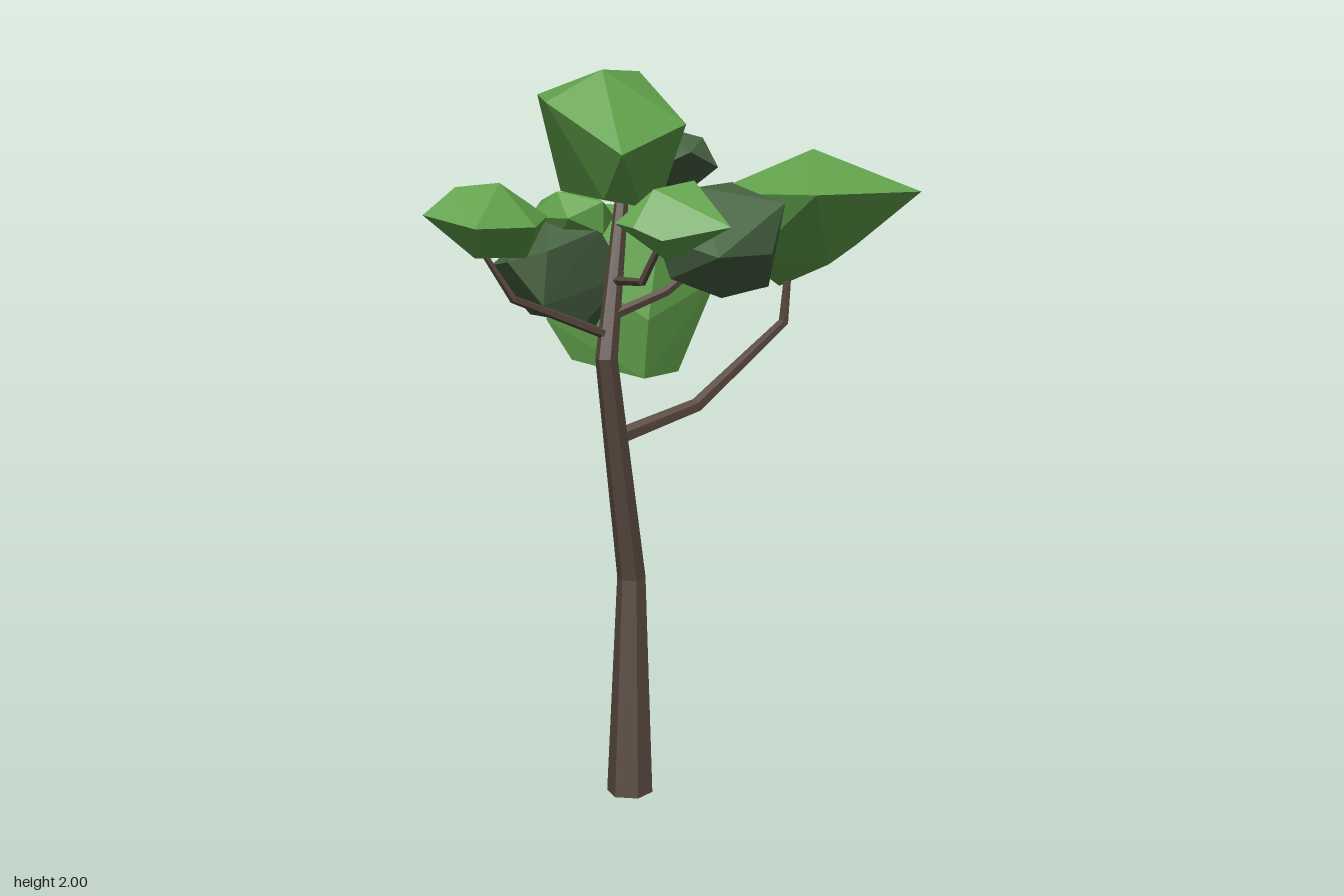
import * as THREE from 'three';
import { ConvexGeometry } from 'three/addons/geometries/ConvexGeometry.js';

const leaf = new THREE.MeshStandardMaterial({ color: 0x60a04a });
leaf.name = 'leafGreen';
const shade = new THREE.MeshStandardMaterial({ color: 0x466241 });
shade.name = 'deepGreen';
const bark = new THREE.MeshStandardMaterial({ color: 0x57483e });
bark.name = 'barkBrown';

const UP = new THREE.Vector3(0, 1, 0);

function part(name, geometry, material) {
  const flat = geometry.index ? geometry.toNonIndexed() : geometry;
  flat.computeVertexNormals();
  const mesh = new THREE.Mesh(flat, material);
  mesh.name = name;
  return mesh;
}

// Bent, tapering limb: each ring of a cylinder moves to one path point [x, y, z, radius]
function limb(name, path, sides) {
  const last = path.length - 1;
  const geometry = new THREE.CylinderGeometry(1, 1, 1, sides, last, false, Math.PI / 2);
  const points = path.map((p) => new THREE.Vector3(p[0], p[1], p[2]));
  const turns = points.map((p, i) => {
    const along = new THREE.Vector3();
    if (i > 0) along.add(p.clone().sub(points[i - 1]).normalize());
    if (i < last) along.add(points[i + 1].clone().sub(p).normalize());
    return new THREE.Quaternion().setFromUnitVectors(UP, along.normalize());
  });
  const pos = geometry.attributes.position;
  const v = new THREE.Vector3();
  for (let i = 0; i < pos.count; i++) {
    const row = Math.round((pos.getY(i) + 0.5) * last);
    v.set(pos.getX(i), 0, pos.getZ(i)).multiplyScalar(path[row][3]);
    v.applyQuaternion(turns[row]).add(points[row]);
    pos.setXYZ(i, v.x, Math.max(0, v.y), v.z);
  }
  return part(name, geometry, bark);
}

// Irregular leaf clump: the hull around a few corners
function clump(name, material, corners) {
  return part(name, new ConvexGeometry(corners.map((c) => new THREE.Vector3(...c))), material);
}

export function createModel() {
  const tree = new THREE.Group();
  tree.name = 'tree';

  // Trunk and branches
  tree.add(
    limb('trunk', [[-0.118, 0, -0.098, 0.065], [-0.077, 0.62, -0.12, 0.04],
      [-0.21, 1.25, -0.09, 0.03], [-0.13, 1.66, -0.1, 0.018]], 6),
    limb('leftBranch', [[-0.16, 1.03, -0.1, 0.023], [0.05, 1.1, 0.01, 0.02],
      [0.335, 1.31, 0.105, 0.015], [0.35, 1.47, 0.11, 0.01]], 5),
    limb('rightBranch', [[-0.2, 1.31, -0.09, 0.014], [-0.47, 1.42, -0.17, 0.011],
      [-0.55, 1.56, -0.21, 0.007]], 5),
    limb('frontBranch', [[-0.17, 1.45, -0.09, 0.013], [-0.26, 1.46, 0.07, 0.011],
      [-0.265, 1.57, 0.14, 0.009]], 5),
    limb('innerBranch', [[-0.19, 1.36, -0.09, 0.015], [-0.07, 1.42, 0, 0.013],
      [0.03, 1.52, 0.08, 0.01]], 5),
  );

  // Light leaf clumps
  const inner = new THREE.IcosahedronGeometry(1, 0).scale(0.11, 0.08, 0.13).translate(-0.14, 1.61, -0.265);
  tree.add(
    part('backInnerClump', inner, leaf),
    clump('crownClump', leaf, [
      [-0.18, 1.985, -0.12], [0.12, 2, -0.24], [-0.34, 1.9, -0.17], [-0.175, 1.93, -0.35],
      [0.08, 1.85, -0.357], [0.16, 1.78, -0.17], [-0.03, 1.85, 0.035], [-0.31, 1.77, 0.05],
      [-0.25, 1.66, -0.06], [-0.2, 1.68, -0.25], [0.05, 1.63, -0.12], [0.04, 1.66, -0.25],
      [-0.12, 1.64, -0.04],
    ]),
    clump('leftClump', leaf, [
      [0.39, 1.79, 0.16], [0.5, 1.69, -0.155], [0.66, 1.68, 0.14], [0.5, 1.675, 0.44],
      [0.135, 1.67, 0.33], [0.16, 1.67, -0.03], [0.57, 1.52, 0.2], [0.57, 1.53, -0.07],
      [0.32, 1.48, 0.26], [0.2, 1.51, 0.1], [0.33, 1.54, -0.13], [0.35, 1.41, 0.08],
    ]),
    clump('lowerBackClump', leaf, [
      [0.03, 1.64, -0.41], [0.11, 1.61, -0.41], [0.24, 1.63, -0.155], [-0.08, 1.5, -0.39],
      [-0.08, 1.32, -0.42], [-0.065, 1.21, -0.34], [-0.065, 1.18, -0.08], [0.1, 1.18, -0.09],
      [0.295, 1.37, -0.27], [0.24, 1.43, -0.06], [-0.07, 1.34, -0.06], [0.08, 1.26, -0.415],
      [0, 1.56, -0.08], [0.2, 1.5, -0.35],
    ]),
    clump('farRightClump', leaf, [
      [-0.53, 1.62, -0.39], [-0.385, 1.66, -0.355], [-0.33, 1.62, -0.18], [-0.485, 1.6, -0.075],
      [-0.65, 1.6, -0.115], [-0.67, 1.63, -0.27], [-0.51, 1.705, -0.17], [-0.44, 1.695, -0.26],
      [-0.58, 1.695, -0.25], [-0.42, 1.52, -0.17], [-0.57, 1.525, -0.2], [-0.48, 1.53, -0.29],
    ]),
    clump('frontRightClump', leaf, [
      [-0.375, 1.61, 0.08], [-0.29, 1.62, 0.045], [-0.21, 1.6, 0.06], [-0.165, 1.66, 0.1],
      [-0.155, 1.64, 0.2], [-0.19, 1.71, 0.18], [-0.21, 1.6, 0.305], [-0.345, 1.57, 0.2],
      [-0.38, 1.6, 0.14], [-0.3, 1.69, 0.14], [-0.28, 1.515, 0.17], [-0.18, 1.56, 0.17],
    ]),
  );

  // Dark leaf clumps
  tree.add(
    clump('frontInnerClump', shade, [
      [-0.165, 1.57, 0.04], [-0.14, 1.52, 0.22], [0, 1.69, 0.05], [0.23, 1.7, 0],
      [0.12, 1.65, 0.245], [0.06, 1.52, 0.245], [-0.13, 1.46, 0.06], [0.04, 1.4, 0.1],
      [0.22, 1.42, 0.13], [0.05, 1.46, -0.07], [0.1, 1.65, -0.08], [0.27, 1.55, 0.05],
    ]),
    clump('upperBackClump', shade, [
      [0.14, 1.86, -0.22], [0.25, 1.85, -0.35], [0.05, 1.8, -0.4], [0.35, 1.76, -0.19],
      [0.2, 1.72, -0.405], [0.21, 1.74, -0.035], [0.2, 1.82, -0.08], [0.09, 1.78, -0.04],
      [0.02, 1.7, -0.2], [0.15, 1.62, -0.18], [0.25, 1.67, -0.33], [0.05, 1.67, -0.33],
    ]),
    clump('backRightClump', shade, [
      [-0.355, 1.5, -0.3], [-0.27, 1.48, -0.445], [-0.09, 1.47, -0.425], [-0.33, 1.39, -0.2],
      [-0.32, 1.53, -0.19], [-0.05, 1.31, -0.25], [-0.17, 1.33, -0.2], [-0.15, 1.58, -0.16],
      [-0.06, 1.58, -0.3], [-0.21, 1.61, -0.29], [-0.04, 1.45, -0.16], [-0.22, 1.35, -0.35],
    ]),
  );
  return tree;
}
